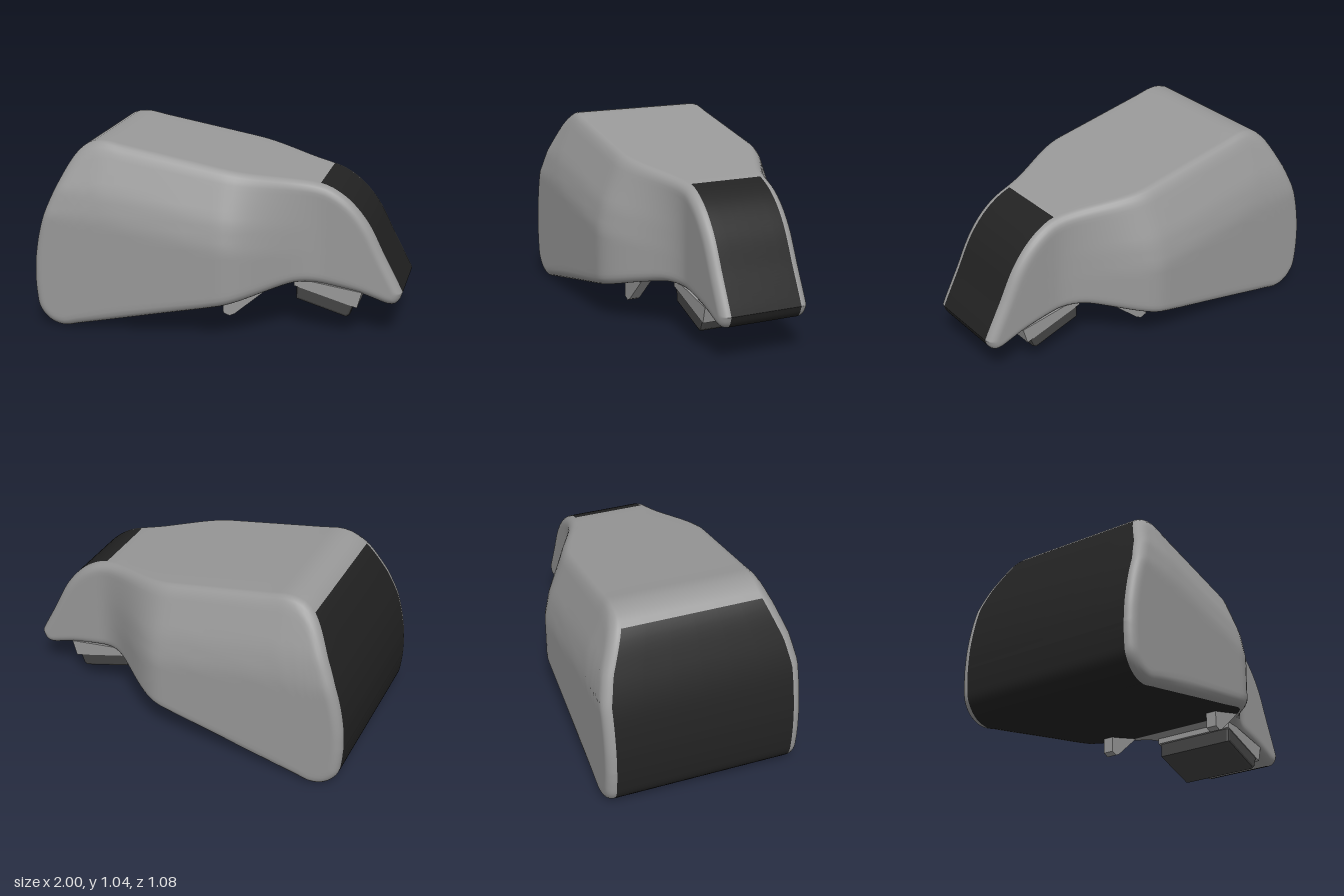
import * as THREE from 'three';
import { mergeVertices } from 'three/addons/utils/BufferGeometryUtils.js';

const shellGrey = new THREE.MeshStandardMaterial({ color: 0x999999 });
shellGrey.name = 'shell grey';
const panelBlack = new THREE.MeshStandardMaterial({ color: 0x222222 });
panelBlack.name = 'panel black';
const blockGrey = new THREE.MeshStandardMaterial({ color: 0x444444 });
blockGrey.name = 'block dark grey';

const COLS = 110, STRIP = 6, SIDE = 26, ROUND = 0.05;
const chain = (pts) => new THREE.CatmullRomCurve3(pts.map(([x, y]) => new THREE.Vector3(x, y, 0)), false, 'centripetal');

// Upper and lower halves of the side profile, both from rear to nose tip
const upper = chain([[-1, 0.27], [-0.992, 0.4], [-0.95, 0.6], [-0.87, 0.8], [-0.77, 0.98], [-0.7, 1.035], [-0.62, 1.05],
  [-0.5, 1.03], [0, 0.945], [0.42, 0.873], [0.52, 0.855], [0.6, 0.83], [0.7, 0.765], [0.8, 0.65], [0.9, 0.46], [0.98, 0.31], [1, 0.27]]);
const lower = chain([[-1, 0.27], [-0.995, 0.18], [-0.98, 0.1], [-0.92, 0.03], [-0.84, 0.005], [-0.74, 0.025], [-0.3, 0.125],
  [0.05, 0.205], [0.3, 0.275], [0.42, 0.298], [0.55, 0.285], [0.76, 0.25], [0.86, 0.22], [0.92, 0.202], [0.96, 0.205], [0.985, 0.23], [1, 0.27]]);

// Half width of the shell: tapered towards the roof, necking down to the nose
function halfWidth(x, y) {
  const drop = 1.05 - 0.165 * Math.max(0, x + 0.62) - y;
  const lerp = THREE.MathUtils.lerp;
  let body = 0.54;
  if (drop < 0.26) body = lerp(0.415, 0.51, Math.max(0, drop - 0.03) / 0.23);
  else if (drop < 0.4) body = lerp(0.51, 0.54, (drop - 0.26) / 0.14);
  return lerp(body, 0.25, THREE.MathUtils.smoothstep(x, 0.05, 0.58));
}

function shellGeometry() {
  const cosine = (t) => (1 - Math.cos(Math.PI * t)) / 2;
  const top = [], bottom = [];
  for (let i = 0; i <= COLS; i++) {
    const t = cosine(i / COLS);
    top.push(upper.getPointAt(t));
    bottom.push(lower.getPointAt(t));
  }
  // Distance to the outline drives the rounded edges
  const segments = [];
  for (const c of [top, bottom]) for (let i = 0; i < COLS; i++) segments.push(new THREE.Line3(c[i], c[i + 1]));
  const near = new THREE.Vector3();
  const widthAt = (p) => {
    let d = ROUND;
    for (const s of segments) d = Math.min(d, s.closestPointToPoint(p, true, near).distanceTo(p));
    const k = 1 - d / ROUND;
    return halfWidth(p.x, p.y) - ROUND * (1 - Math.sqrt(Math.max(0, 1 - k * k)));
  };

  // One closed ring per column: bottom strip, left side, top strip, right side
  const pos = [], ring = 2 * (STRIP + SIDE);
  for (let i = 0; i <= COLS; i++) {
    const side = [];
    for (let j = 0; j <= SIDE; j++) {
      const p = bottom[i].clone().lerp(top[i], cosine(j / SIDE));
      p.z = widthAt(p);
      side.push(p);
    }
    const a = side[0], b = side[SIDE];
    for (let j = 0; j < STRIP; j++) pos.push(a.x, a.y, a.z * (2 * j / STRIP - 1));
    for (let j = 0; j < SIDE; j++) pos.push(side[j].x, side[j].y, side[j].z);
    for (let j = 0; j < STRIP; j++) pos.push(b.x, b.y, b.z * (1 - 2 * j / STRIP));
    for (let j = SIDE; j > 0; j--) pos.push(side[j].x, side[j].y, -side[j].z);
  }

  // Rear, belly and nose strips are black, the rest is grey
  const light = [], dark = [];
  for (let i = 0; i < COLS; i++) {
    const xt = (top[i].x + top[i + 1].x) / 2, xb = (bottom[i].x + bottom[i + 1].x) / 2;
    for (let j = 0; j < ring; j++) {
      const n = (j + 1) % ring;
      const belly = j < STRIP && (xb < 0.27 || xb > 0.94);
      const crown = j >= STRIP + SIDE && j < 2 * STRIP + SIDE && (xt < -0.76 || xt > 0.55);
      const a = i * ring + j, b = a + ring, c = i * ring + n, d = c + ring;
      (belly || crown ? dark : light).push(a, b, c, c, b, d);
    }
  }
  let g = new THREE.BufferGeometry();
  g.setAttribute('position', new THREE.Float32BufferAttribute(pos, 3));
  g.setIndex([...light, ...dark]);
  g = mergeVertices(g, 1e-5);
  g.clearGroups();
  g.addGroup(0, light.length, 0);
  g.addGroup(light.length, dark.length, 1);
  g.computeVertexNormals();
  return g;
}

// Side outline extruded across z
function slab(name, pts, width, z, material, bevel = 0) {
  const shape = new THREE.Shape(pts.map(([x, y]) => new THREE.Vector2(x, y)));
  const depth = width - 2 * bevel;
  const g = new THREE.ExtrudeGeometry(shape, {
    depth, bevelEnabled: bevel > 0, bevelSize: bevel, bevelThickness: bevel, bevelOffset: -bevel, bevelSegments: 2,
  });
  g.translate(0, 0, z - depth / 2);
  const mesh = new THREE.Mesh(g, material);
  mesh.name = name;
  return mesh;
}

export function createModel() {
  const model = new THREE.Group();
  model.name = 'model';

  const shell = new THREE.Mesh(shellGeometry(), [shellGrey, panelBlack]);
  shell.name = 'shell';
  model.add(shell);

  // Mounting plate and block under the nose
  model.add(slab('chinPlate', [[0.41, 0.31], [0.41, 0.265], [0.76, 0.168], [0.785, 0.26]], 0.48, 0, shellGrey));
  model.add(slab('chinBlock', [[0.42, 0.28], [0.42, 0.185], [0.7, 0.105], [0.72, 0.12], [0.745, 0.19]], 0.47, 0, blockGrey, 0.015));

  // Pair of small fins below the neck
  const fin = [[0.04, 0.23], [0.045, 0.118], [0.08, 0.105], [0.11, 0.12], [0.29, 0.28]];
  for (const s of [1, -1]) model.add(slab(s > 0 ? 'leftFin' : 'rightFin', fin, 0.06, s * 0.343, shellGrey));

  return model;
}
